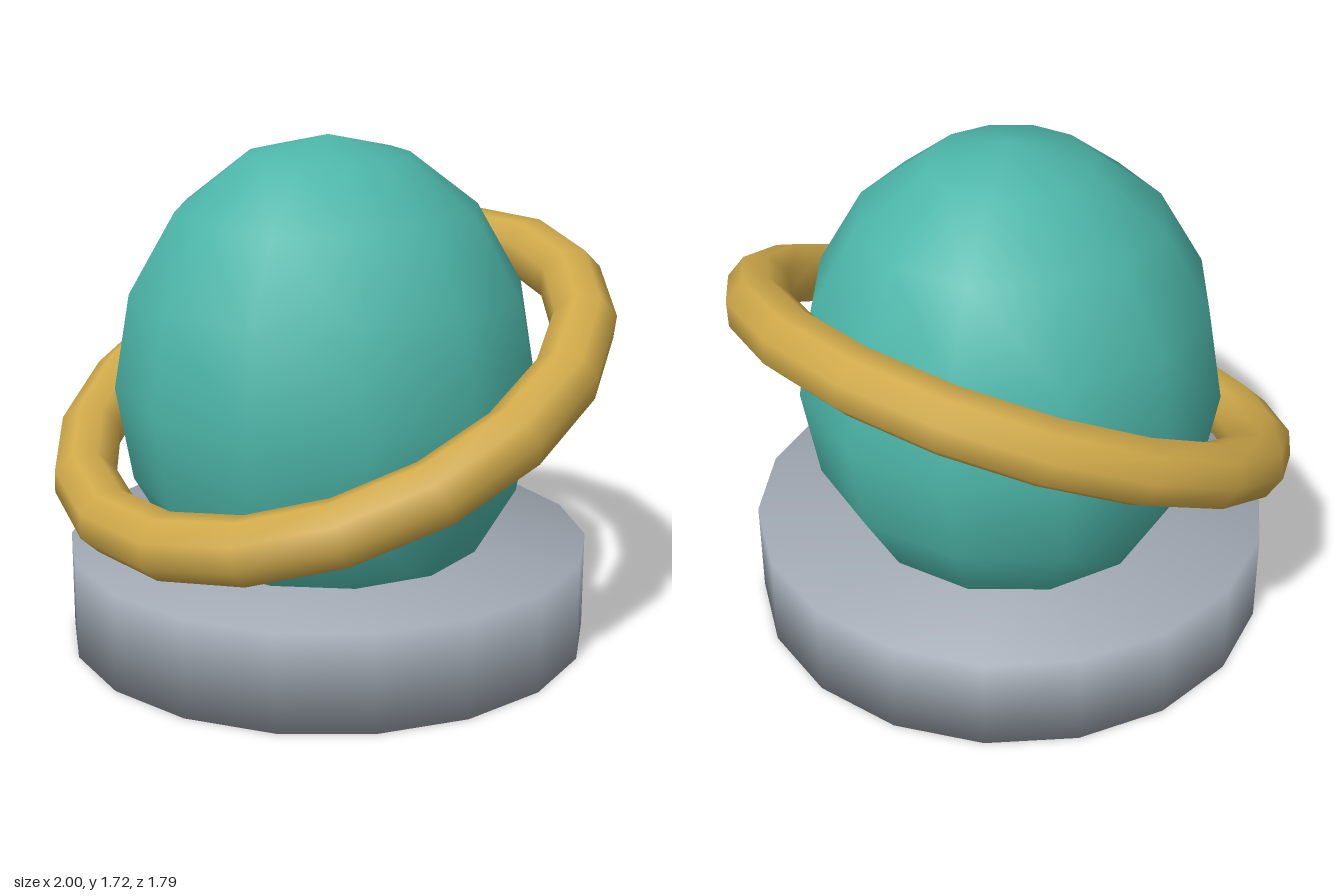
import * as THREE from 'three';
import { mergeVertices } from 'three/addons/utils/BufferGeometryUtils.js';

const material = (name, color) => {
  const m = new THREE.MeshStandardMaterial({ color });
  m.name = name;
  return m;
};

// Weld shared corners so the shading runs smoothly over every edge
function smooth(geometry) {
  geometry.deleteAttribute('uv');
  geometry.deleteAttribute('normal');
  const welded = mergeVertices(geometry, 1e-4);
  welded.computeVertexNormals();
  return welded;
}

export function createModel() {
  const group = new THREE.Group();
  group.name = 'ringedGlobe';

  const add = (name, geometry, mat, y) => {
    const mesh = new THREE.Mesh(geometry, mat);
    mesh.name = name;
    mesh.position.y = y;
    group.add(mesh);
    return mesh;
  };

  const baseHeight = 0.335;
  const globeY = 0.89;

  // Round pedestal with 18 sides
  add('base', smooth(new THREE.CylinderGeometry(0.89, 0.89, baseHeight, 18)),
    material('stoneGrey', 0xa0a8b2), baseHeight / 2);

  // Slightly tall globe, sunk into the pedestal
  const globe = new THREE.SphereGeometry(0.72, 12, 8);
  globe.scale(1, 1.155, 1);
  add('globe', smooth(globe), material('teal', 0x4db6a9), globeY);

  // Ring around the globe, low at the front and high at the back
  const ring = add('ring', new THREE.TorusGeometry(0.89, 0.11, 8, 18),
    material('gold', 0xcfa94a), globeY);
  ring.rotation.x = Math.PI / 2 + THREE.MathUtils.degToRad(25);

  return group;
}
